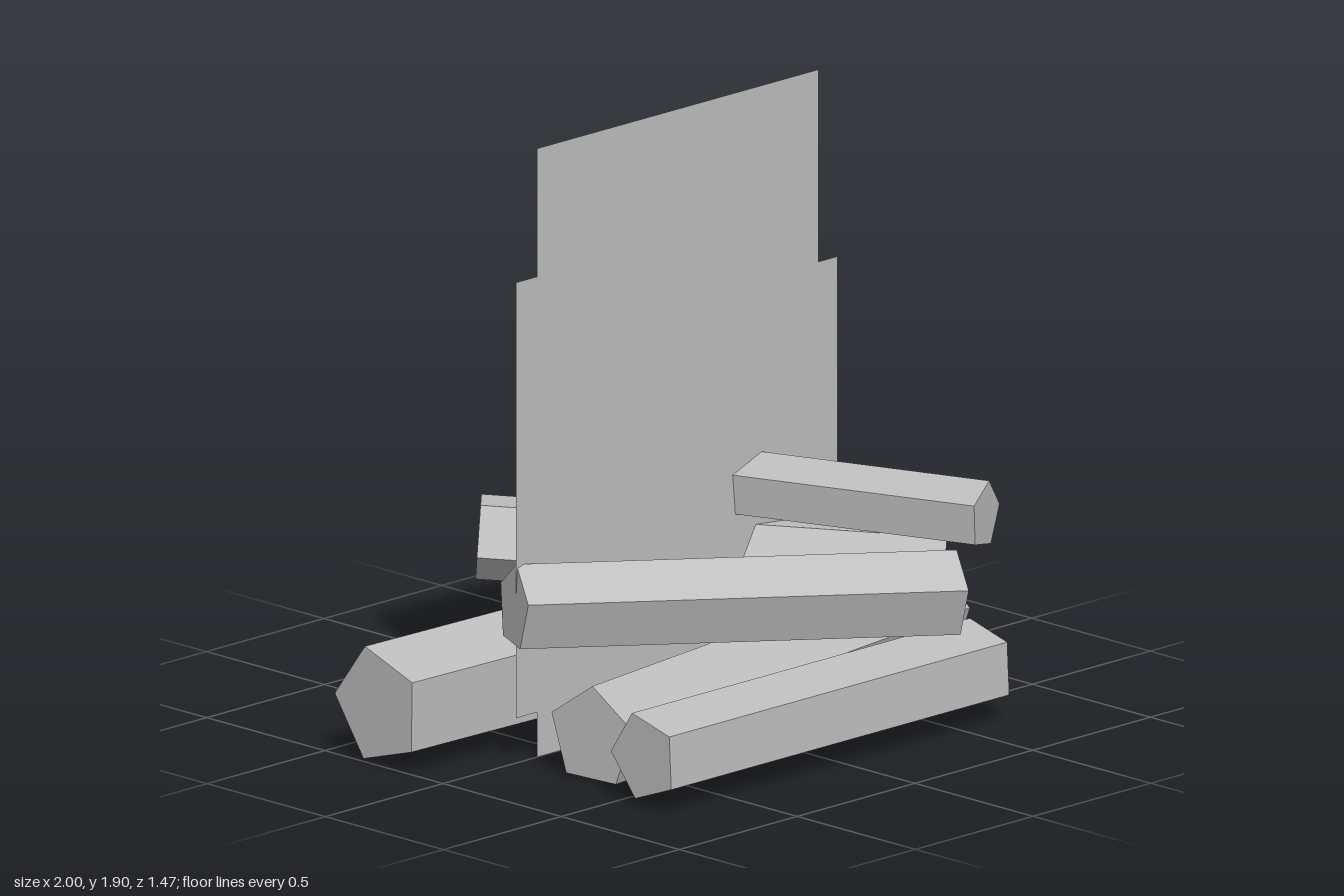
import * as THREE from 'three';

const grey = new THREE.MeshStandardMaterial({ color: 0xbcbcbc, flatShading: true });
grey.name = 'grey';
const panelGrey = new THREE.MeshStandardMaterial({ color: 0xbcbcbc, side: THREE.DoubleSide });
panelGrey.name = 'panel grey';

// Five-sided log between two end centres, rolled about its own axis (degrees)
function makeLog(name, from, to, radius, roll) {
  const a = new THREE.Vector3(...from);
  const b = new THREE.Vector3(...to);
  const dir = b.clone().sub(a);
  const length = dir.length();
  dir.normalize();
  const side = dir.clone().cross(new THREE.Vector3(0, 1, 0)).normalize();
  const down = dir.clone().cross(side);
  const geometry = new THREE.CylinderGeometry(
    radius, radius, length, 5, 1, false, -THREE.MathUtils.degToRad(roll));
  const log = new THREE.Mesh(geometry, grey);
  log.name = name;
  log.quaternion.setFromRotationMatrix(new THREE.Matrix4().makeBasis(down, dir, side));
  log.position.copy(a).add(b).multiplyScalar(0.5);
  return log;
}

export function createModel() {
  const model = new THREE.Group();
  model.name = 'campfire';

  // Bottom layer, then the logs leaning across it, then the top log
  const logs = [
    ['backLog', [-1, 0.183, -0.278], [0.93, 0.183, -0.228], 0.185, 35],
    ['middleLog', [-0.67, 0.138, 0.3], [0.98, 0.138, 0.085], 0.16, 17],
    ['frontLog', [-0.76, 0.156, 0.61], [0.675, 0.156, 0.61], 0.139, 39],
    ['leaningFrontLog', [-0.685, 0.482, -0.015], [0.568, 0.395, 0.6], 0.134, 18],
    ['leaningBackLog', [-0.195, 0.475, -0.652], [0.77, 0.383, 0.36], 0.135, 58],
    ['topLog', [0.205, 0.657, -0.305], [0.607, 0.647, 0.695], 0.106, 31],
  ];
  for (const log of logs) model.add(makeLog(...log));

  // Flat stepped flame standing in the middle of the pile
  const outline = [
    [-0.6, 0], [0.595, 0], [0.595, 0.14], [0.675, 0.14], [0.675, 1.3], [0.595, 1.3],
    [0.595, 1.9], [-0.6, 1.9], [-0.6, 1.5], [-0.69, 1.5], [-0.69, 0.14], [-0.6, 0.14],
  ].map(([x, y]) => new THREE.Vector2(x, y));
  const flame = new THREE.Mesh(new THREE.ShapeGeometry(new THREE.Shape(outline)), panelGrey);
  flame.name = 'flamePanel';
  model.add(flame);

  return model;
}
